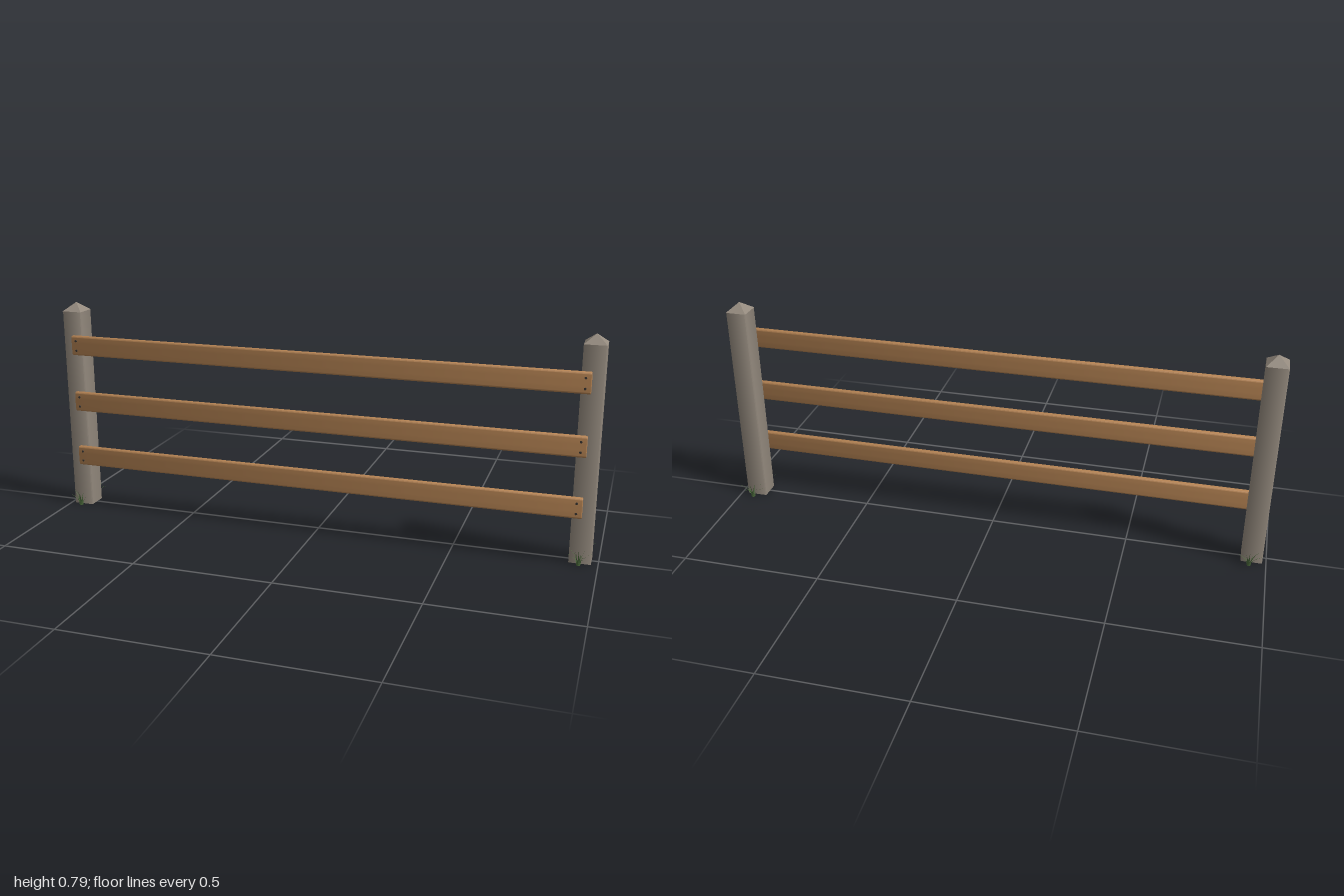
import * as THREE from 'three';
import { toCreasedNormals } from 'three/addons/utils/BufferGeometryUtils.js';

const mat = (name, color, side = THREE.FrontSide) => {
  const m = new THREE.MeshStandardMaterial({ color, side });
  m.name = name;
  return m;
};

export function createModel() {
  const stone = mat('weathered grey wood', 0x948a7e);
  const wood = mat('brown rail wood', 0xb58353);
  const iron = mat('dark nail iron', 0x3b3632);
  const green = mat('grass green', 0x4c6b3c, THREE.DoubleSide);

  const fence = new THREE.Group();
  fence.name = 'fence';
  const add = (parent, name, geo, material, x = 0, y = 0, z = 0) => {
    const m = new THREE.Mesh(geo, material);
    m.name = name;
    m.position.set(x, y, z);
    parent.add(m);
    return m;
  };

  // Square post with chamfered corners
  const h = 0.0375, c = 0.003;
  const postShape = new THREE.Shape([
    [h, -h + c], [h, h - c], [h - c, h], [-h + c, h],
    [-h, h - c], [-h, -h + c], [-h + c, -h], [h - c, -h],
  ].map(([x, y]) => new THREE.Vector2(x, y)));
  const postGeo = toCreasedNormals(
    new THREE.ExtrudeGeometry(postShape, { depth: 0.755, bevelEnabled: false }).rotateX(-Math.PI / 2), 0.9);

  // Four-sided pyramid cap
  const capGeo = new THREE.ConeGeometry(h * Math.SQRT2, 0.031, 4, 1, true).rotateY(Math.PI / 4);
  const capFlat = toCreasedNormals(capGeo, 0.1);

  // Plank with a softly bowed face and rounded edges, running along x
  const L = 1.882, b = 0.003, rw = 0.011 - b, rh = 0.0365 - b, r = 0.004;
  const s = new THREE.Shape();
  s.moveTo(rw - 0.001, -rh + r);
  s.quadraticCurveTo(rw + 0.001, 0, rw - 0.001, rh - r);
  s.quadraticCurveTo(rw - 0.001, rh, rw - r, rh);
  s.lineTo(-rw + r, rh);
  s.quadraticCurveTo(-rw + 0.001, rh, -rw + 0.001, rh - r);
  s.quadraticCurveTo(-rw - 0.001, 0, -rw + 0.001, -rh + r);
  s.quadraticCurveTo(-rw + 0.001, -rh, -rw + r, -rh);
  s.lineTo(rw - r, -rh);
  s.quadraticCurveTo(rw - 0.001, -rh, rw - 0.001, -rh + r);
  const railGeo = toCreasedNormals(new THREE.ExtrudeGeometry(s, {
    depth: L - 2 * b, bevelEnabled: true, bevelThickness: b, bevelSize: b,
    bevelSegments: 2, curveSegments: 6,
  }).translate(0, 0, -L / 2 + b).rotateY(Math.PI / 2), 0.7);

  const nailGeo = new THREE.CylinderGeometry(0.004, 0.005, 0.006, 8).rotateX(Math.PI / 2);

  // Curved, tapering grass blade made from cross-sections
  const bladeGeo = (angle, lean, height, width) => {
    const pos = [], idx = [], n = 4;
    const dx = Math.cos(angle), dz = Math.sin(angle);
    for (let i = 0; i <= n; i++) {
      const t = i / n, out = 0.006 + lean * t * t, w = width * (1 - t * 0.95) / 2;
      const y = height * (t - 0.15 * t * t) / 0.85;
      pos.push(dx * out - dz * w, y, dz * out + dx * w, dx * out + dz * w, y, dz * out - dx * w);
      if (i < n) idx.push(2 * i, 2 * i + 1, 2 * i + 2, 2 * i + 1, 2 * i + 3, 2 * i + 2);
    }
    const g = new THREE.BufferGeometry();
    g.setAttribute('position', new THREE.Float32BufferAttribute(pos, 3));
    g.setIndex(idx);
    g.computeVertexNormals();
    return g;
  };

  // Tuft of blades fanning away from the post
  const addTuft = (parent, name, x, z, side, spread) => {
    const tuft = new THREE.Group();
    tuft.name = name;
    tuft.position.set(x, 0, z);
    for (let i = 0; i < 11; i++) {
      const a = side * (-0.25 + 3.64 * i / 10);
      const k = (i * 7 % 11) / 10;
      const lean = spread * (0.35 + 0.65 * k) * (Math.abs(Math.sin(a)) < 0.3 ? 1.3 : 0.75);
      add(tuft, 'grassBlade', bladeGeo(a, lean, 0.036 + 0.026 * (i * 4 % 11) / 10, 0.006), green);
    }
    parent.add(tuft);
  };

  for (const [name, x] of [['rightPost', -0.949], ['leftPost', 0.939]]) {
    const post = new THREE.Group();
    post.name = name;
    post.position.x = x;
    fence.add(post);
    add(post, 'postShaft', postGeo, stone);
    add(post, 'postCap', capFlat, stone, 0, 0.755 + 0.0155, 0);
    addTuft(post, 'frontGrass', -0.003, 0.052, 1, 0.034);
    addTuft(post, 'backGrass', 0.008, -0.056, -1, 0.036);
  }

  // Three rails, each nailed twice at both ends
  [0.203, 0.417, 0.632].forEach((y) => {
    const rail = new THREE.Group();
    rail.name = 'rail';
    rail.position.set(-0.005, y, 0.047);
    fence.add(rail);
    add(rail, 'plank', railGeo, wood);
    for (const side of [-1, 1])
      for (const dy of [-0.018, 0.018])
        add(rail, 'nail', nailGeo, iron, side * 0.922, dy, 0.0105);
  });

  return fence;
}
